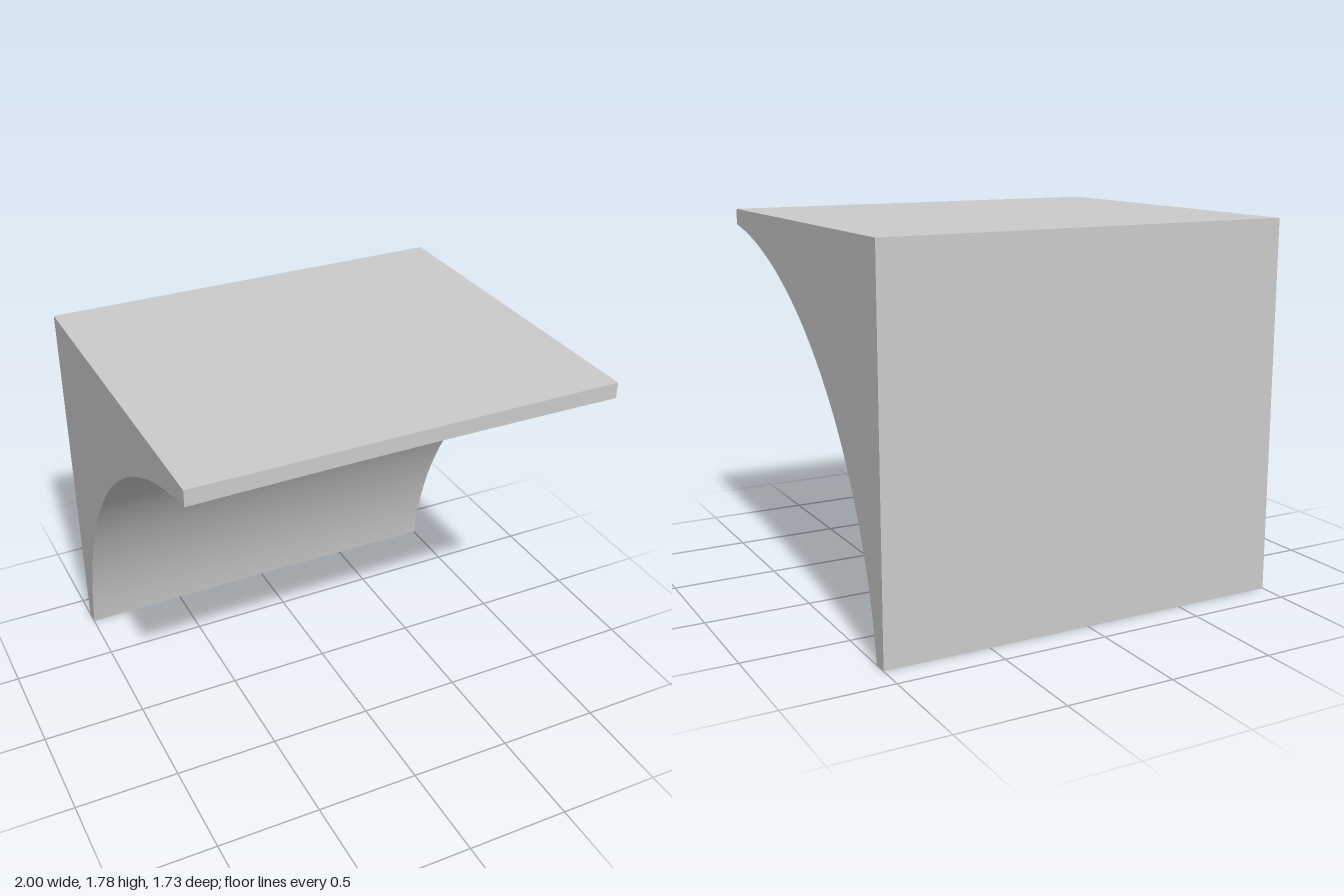
import * as THREE from 'three';
import { toCreasedNormals } from 'three/addons/utils/BufferGeometryUtils.js';

const BACK = -0.865, FRONT = 0.865, TOP = 1.785;
const CZ = 1.179, CY = -0.257, R = 1.991; // circle of the cove
const BOW = 0.007; // the cove is very slightly deeper in the middle

export function createModel() {
  const group = new THREE.Group();
  group.name = 'covedBracket';

  // side profile (z across, y up)
  const a0 = Math.atan2(Math.sqrt(R * R - (FRONT - CZ) ** 2), FRONT - CZ);
  const a1 = Math.atan2(-CY, -Math.sqrt(R * R - CY * CY));
  const profile = new THREE.Shape();
  profile.moveTo(BACK, 0);
  const segments = 64;
  for (let i = 0; i <= segments; i++) {
    const a = a1 + (a0 - a1) * i / segments;
    profile.lineTo(CZ + R * Math.cos(a), CY + R * Math.sin(a));
  }
  profile.lineTo(FRONT, TOP);
  profile.lineTo(BACK, TOP);
  profile.closePath();

  let geometry = new THREE.ExtrudeGeometry(profile, { depth: 2, steps: 16, bevelEnabled: false });
  geometry.translate(0, 0, -1);
  geometry.rotateY(-Math.PI / 2);

  // bow the cove: upward at the front lip, backward at the foot
  const p = geometry.attributes.position;
  for (let i = 0; i < p.count; i++) {
    const x = p.getX(i), y = p.getY(i), z = p.getZ(i);
    if (Math.abs(Math.hypot(z - CZ, y - CY) - R) > 0.001) continue;
    const t = (a1 - Math.atan2(y - CY, z - CZ)) / (a1 - a0) * Math.PI / 2;
    const push = BOW * (1 - x * x);
    p.setY(i, y + push * Math.sin(t));
    p.setZ(i, z - push * Math.cos(t));
  }
  geometry = toCreasedNormals(geometry, 0.3);

  const mesh = new THREE.Mesh(geometry, new THREE.MeshStandardMaterial({ color: 0xcccccc }));
  mesh.name = 'covedBlock';
  group.add(mesh);
  return group;
}
